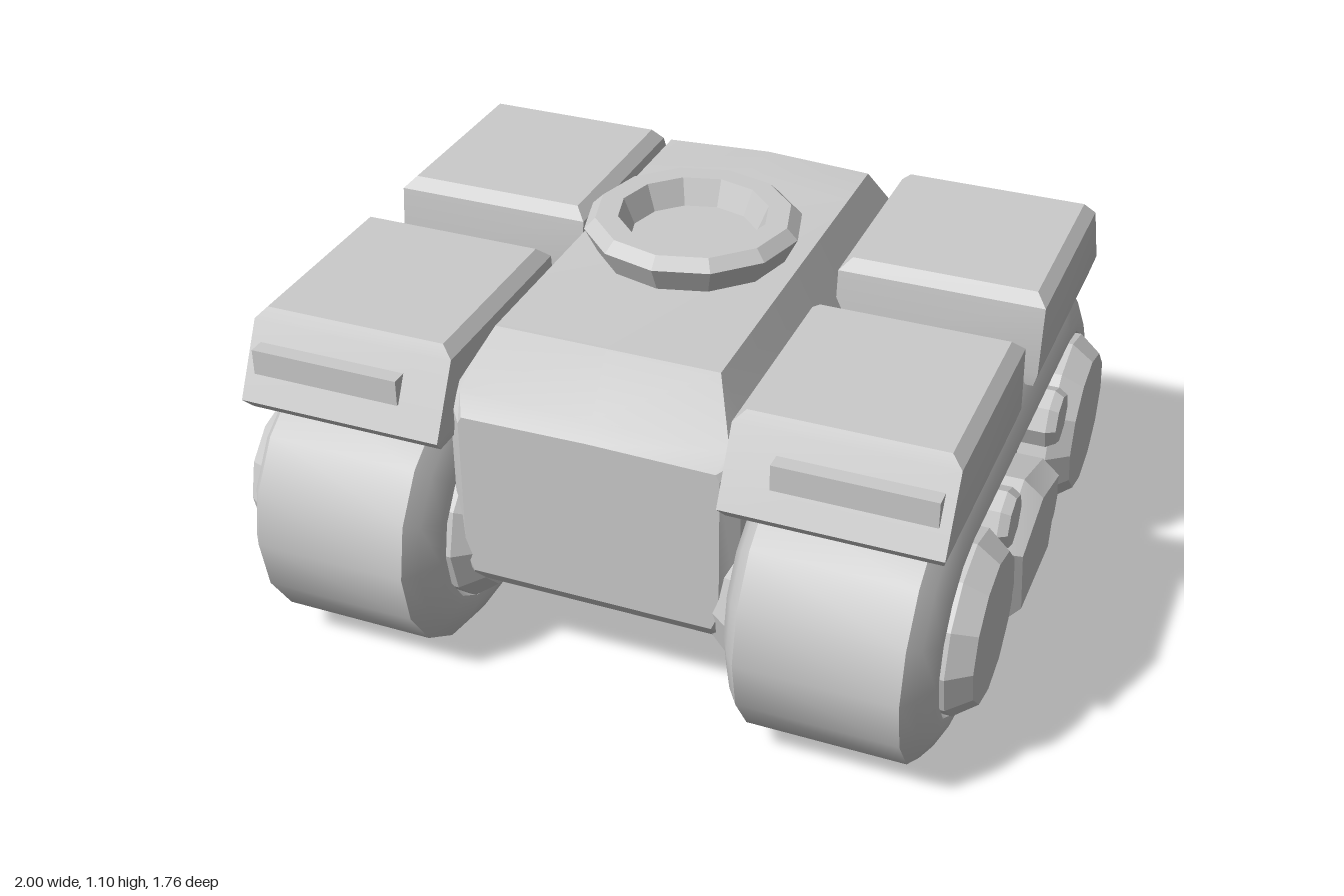
import * as THREE from 'three';
import { toCreasedNormals } from 'three/addons/utils/BufferGeometryUtils.js';

const material = new THREE.MeshStandardMaterial({ color: 0xcccccc });

// Skin a list of equal-length rings (counter-clockwise about the axis) and cap both ends
function loft(rings, crease = 0.3) {
  const n = rings[0].length;
  const pos = rings.flat(2);
  const index = [];
  for (let i = 0; i < rings.length - 1; i++) {
    for (let j = 0; j < n; j++) {
      const k = (j + 1) % n;
      const a = i * n + j, b = i * n + k, c = a + n, d = b + n;
      index.push(a, b, d, a, d, c);
    }
  }
  const last = (rings.length - 1) * n;
  for (let j = 1; j < n - 1; j++) {
    index.push(0, j + 1, j);
    index.push(last, last + j, last + j + 1);
  }
  const geo = new THREE.BufferGeometry();
  geo.setAttribute('position', new THREE.Float32BufferAttribute(pos, 3));
  geo.setIndex(index);
  return toCreasedNormals(geo, crease);
}

function add(parent, name, geo) {
  const mesh = new THREE.Mesh(geo, material);
  mesh.name = name;
  parent.add(mesh);
  return mesh;
}

// Stadium-shaped ring around the two wheel axles
function stadium(x, r) {
  const ring = [];
  for (const side of [0, 1]) {
    for (let i = 0; i <= 8; i++) {
      const a = Math.PI * (side + i / 8);
      ring.push([x, 0.38 + r * Math.cos(a), (side ? -0.5 : 0.5) + r * Math.sin(a)]);
    }
  }
  return ring;
}

// Round disc along x, given [x, radius] steps
function disc(steps, sides, y, z) {
  return loft(steps.map(([x, r]) => Array.from({ length: sides }, (_, i) => {
    const a = (i / sides) * Math.PI * 2;
    return [x, y + r * Math.cos(a), z + r * Math.sin(a)];
  })));
}

// Wheels, rollers and centre plate on one face of a track
function trackDetails() {
  const g = new THREE.Group();
  g.name = 'runningGear';
  for (const s of [1, -1]) {
    add(g, 'wheel', disc([[0.15, 0.24], [0.28, 0.24], [0.34, 0.195]], 12, 0.38, s * 0.505));
    for (const y of [0.53, 0.23]) {
      add(g, 'roller', disc([[0.15, 0.085], [0.29, 0.085], [0.315, 0.07]], 8, y, s * 0.255));
    }
  }
  const plate = (x, top, shoulder, ws, bottom, wb) => [
    [x, top, 0], [x, shoulder, ws], [x, bottom, wb], [x, bottom, -wb], [x, shoulder, -ws],
  ];
  add(g, 'centrePlate', loft([
    plate(0.15, 0.485, 0.405, 0.235, 0.125, 0.17),
    plate(0.28, 0.485, 0.405, 0.235, 0.125, 0.17),
    plate(0.335, 0.44, 0.385, 0.2, 0.18, 0.15),
  ]));
  return g;
}

function track(side) {
  const g = new THREE.Group();
  g.name = side > 0 ? 'leftTrack' : 'rightTrack';
  // Half profile from recess floor over the lip to the tread edge
  const half = [[0.2, 0.225], [0.27, 0.25], [0.27, 0.28], [0.24, 0.34], [0.21, 0.38]];
  const profile = [...half.map(([x, r]) => [-x, r]), ...half.slice().reverse()];
  add(g, 'tread', loft(profile.map(([x, r]) => stadium(x, r)), 0.5));
  const outer = trackDetails();
  const inner = trackDetails();
  inner.rotation.y = Math.PI;
  g.add(outer, inner);
  g.position.x = side * 0.66;
  return g;
}

// Sloped armoured box over each track end, with a raised bar on its outer slope
function fender(sx, sz) {
  const g = new THREE.Group();
  g.name = (sz > 0 ? 'front' : 'rear') + (sx > 0 ? 'Left' : 'Right') + 'Fender';
  const levels = [
    [0.72, 0.27, 0.09, 0.75],
    [0.757, 0.28, 0.085, 0.785],
    [0.945, 0.28, 0.105, 0.685],
    [0.975, 0.25, 0.135, 0.665],
  ];
  add(g, 'fenderBox', loft(levels.map(([y, w, z0, z1]) => {
    const cx = sx * 0.65, cz = sz * (z0 + z1) / 2, d = (z1 - z0) / 2;
    return [[cx - w, y, cz - d], [cx - w, y, cz + d], [cx + w, y, cz + d], [cx + w, y, cz - d]];
  })));
  const bar = add(g, 'fenderBar', new THREE.BoxGeometry(0.41, 0.07, 0.1));
  bar.position.set(sx * 0.697, 0.86, sz * 0.705);
  return g;
}

// Hull cross-section at z
function hullRing(z, bottom, wb, w, shoulder, wt, top, ridge) {
  const right = [[wb, bottom], [w, bottom + 0.05], [w, shoulder], [wt, top]];
  const left = right.map(([x, y]) => [-x, y]).reverse();
  return [...right, [0, ridge], ...left].map(([x, y]) => [x, y, z]);
}

export function createModel() {
  const model = new THREE.Group();
  model.name = 'trackedVehicle';

  add(model, 'hull', loft([
    hullRing(-0.71, 0.33, 0.33, 0.35, 0.78, 0.34, 0.8, 0.805),
    hullRing(-0.67, 0.28, 0.35, 0.39, 0.83, 0.36, 0.845, 0.85),
    hullRing(-0.575, 0.28, 0.35, 0.39, 0.83, 0.3, 1.0, 1.015),
    hullRing(-0.4, 0.28, 0.35, 0.39, 0.83, 0.3, 1.0, 1.022),
    hullRing(-0.28, 0.28, 0.35, 0.39, 0.83, 0.3, 1.0, 1.0),
    hullRing(0.575, 0.28, 0.35, 0.39, 0.83, 0.3, 1.0, 1.0),
    hullRing(0.67, 0.28, 0.35, 0.39, 0.83, 0.36, 0.845, 0.85),
    hullRing(0.71, 0.33, 0.33, 0.35, 0.78, 0.34, 0.8, 0.805),
  ]));

  // Open ring on the roof with a recessed floor
  const ringProfile = [[0.25, 0.99], [0.29, 1.07], [0.26, 1.1], [0.2, 1.1], [0.17, 1.03], [0, 1.03]];
  const ring = new THREE.LatheGeometry(ringProfile.map(([r, y]) => new THREE.Vector2(r, y)), 12);
  add(model, 'turretRing', toCreasedNormals(ring, 0.3));

  for (const sx of [1, -1]) {
    model.add(track(sx));
    for (const sz of [1, -1]) model.add(fender(sx, sz));
  }
  return model;
}
